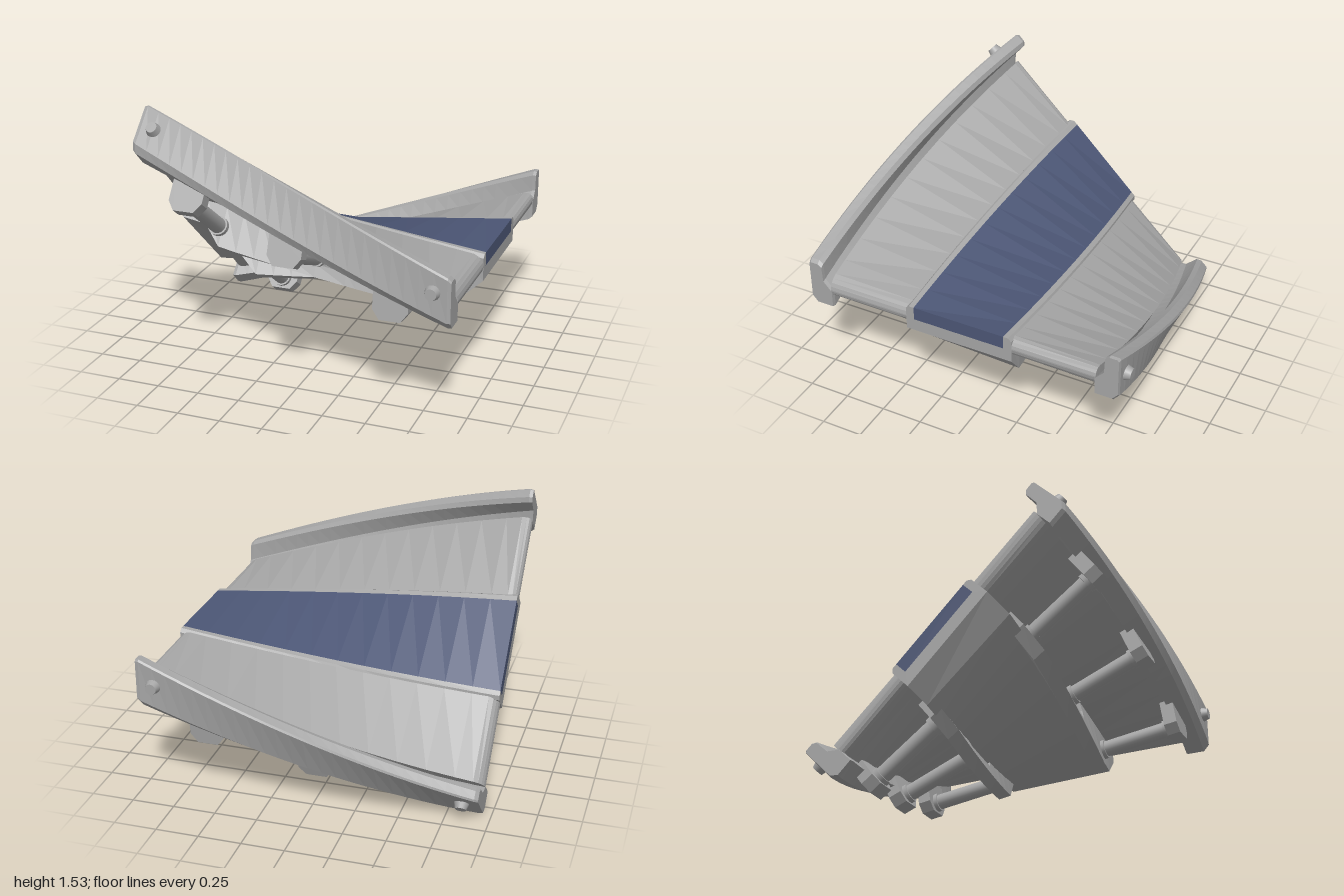
import * as THREE from 'three';

const AXIS_Y = 0.8, HALF = 0.95;
// roll of the track about its long axis: level at +x, 45 degrees at -x
const roll = x => (Math.PI / 4) * (HALF - x) / (2 * HALF);
const range = (a, b, n) => Array.from({ length: n + 1 }, (_, i) => a + (b - a) * i / n);

// Twisted loft: profile(x) gives a closed outline of [across, height] points
function twistedLoft(xs, profile, side = 1) {
  const sections = xs.map(x => {
    const pts = profile(x).map(([s, h]) => new THREE.Vector2(s * side, h));
    return THREE.ShapeUtils.area(pts) < 0 ? pts.reverse() : pts;
  });
  const n = sections[0].length, pos = [], idx = [];
  sections.forEach((pts, k) => {
    const c = Math.cos(roll(xs[k])), s = Math.sin(roll(xs[k]));
    pts.forEach(p => pos.push(xs[k], AXIS_Y + p.x * s + p.y * c, p.x * c - p.y * s));
  });
  for (let k = 0; k < xs.length - 1; k++) {
    for (let i = 0; i < n; i++) {
      const j = (i + 1) % n, a = k * n + i, b = k * n + j;
      idx.push(a, a + n, b, a + n, b + n, b);
    }
  }
  const last = (xs.length - 1) * n;
  THREE.ShapeUtils.triangulateShape(sections[0], []).forEach(([a, b, c]) => idx.push(a, b, c));
  THREE.ShapeUtils.triangulateShape(sections[xs.length - 1], [])
    .forEach(([a, b, c]) => idx.push(last + a, last + c, last + b));
  let g = new THREE.BufferGeometry();
  g.setAttribute('position', new THREE.Float32BufferAttribute(pos, 3));
  g.setIndex(idx);
  g = g.toNonIndexed();
  g.computeVertexNormals();
  return g;
}

export function createModel() {
  const model = new THREE.Group();
  model.name = 'twistedTrack';
  const grey = new THREE.MeshStandardMaterial({ color: 0xa6a6a6 });
  grey.name = 'grey metal';
  const blue = new THREE.MeshStandardMaterial({ color: 0x4c5675 });
  blue.name = 'slate blue';

  const add = (parent, name, geometry, material = grey) => {
    const mesh = new THREE.Mesh(geometry, material);
    mesh.name = name;
    parent.add(mesh);
    return mesh;
  };
  const steps = range(-HALF, HALF, 12);

  // Central deck: a channel whose underside is bevelled at both ends
  const deckX = steps.map((x, i) => i === 1 ? -0.84 : i === 11 ? 0.84 : x);
  add(model, 'deck', twistedLoft(deckX, x => {
    const low = Math.abs(x) > 0.9 ? -0.155 : -0.27;
    return [[0.28, 0], [0.31, 0], [0.33, -0.02], [0.33, low],
      [-0.33, low], [-0.33, -0.02], [-0.31, 0], [-0.28, 0], [-0.28, -0.08], [0.28, -0.08]];
  }));

  // Blue lane set in the channel
  add(model, 'lane', twistedLoft(steps, () => [[0.28, 0], [-0.28, 0], [-0.28, -0.08], [0.28, -0.08]]), blue);

  // Side panels with round ends
  const endCurve = [0.95, 0.945, 0.934, 0.917, 0.89];
  const panelX = [...endCurve.map(x => -x), ...steps.slice(1, -1), ...endCurve.slice().reverse()];
  const panelProfile = x => {
    const t = Math.max(0, (Math.abs(x) - 0.89) / 0.06);
    const r = Math.max(0.004, 0.06 * Math.sqrt(Math.max(0, 1 - t * t)));
    return [[0.32, -0.07 - r], [0.83, -0.07 - r], [0.83, -0.07 + r], [0.32, -0.07 + r]];
  };

  // Outer rails, slightly chamfered at the ends
  const railX = [-HALF, ...range(-0.93, 0.93, 24), HALF];
  const railOutline = [[0.965, 0.09], [0.955, 0.1], [0.905, 0.1], [0.88, 0.08], [0.875, -0.02],
    [0.82, -0.08], [0.82, -0.19], [0.93, -0.19], [0.965, -0.15]];
  const railProfile = x => {
    const k = Math.abs(x) > 0.94 ? 0.93 : 1;
    return railOutline.map(([s, h]) => [0.9 + (s - 0.9) * k, -0.045 + (h + 0.045) * k]);
  };

  // Support beams with chamfered ends and a notch in the middle
  const beamHalf = [0.7, 0.58, 0.47, 0.36, 0.241, 0.239, 0.18];
  const beamX = [...beamHalf.map(x => -x), 0, ...beamHalf.slice().reverse()];
  const beamProfile = x => {
    const a = Math.abs(x);
    const top = a > 0.24 ? -0.14 : a > 0.2 ? -0.21 : -0.305;
    const low = a > 0.6 ? -0.26 : -0.38;
    return [[0.28, low], [0.36, low], [0.36, top], [0.28, top]];
  };

  // Hanging bracket plate below the rail
  const bracketShape = new THREE.Shape([[-0.1, -0.13], [-0.1, -0.28], [-0.06, -0.335],
    [0.06, -0.335], [0.1, -0.28], [0.1, -0.13]].map(p => new THREE.Vector2(...p)));
  const bracketGeo = new THREE.ExtrudeGeometry(bracketShape, { depth: 0.08, bevelEnabled: false });
  const rodGeo = new THREE.CylinderGeometry(0.048, 0.048, 0.5, 20).rotateX(Math.PI / 2);
  const collarGeo = new THREE.CylinderGeometry(0.058, 0.058, 0.03, 20).rotateX(Math.PI / 2);
  const boltGeo = new THREE.CylinderGeometry(0.032, 0.047, 0.05, 16).rotateX(Math.PI / 2);

  // A straight assembly that follows the roll of the track at x
  const station = (name, x) => {
    const g = new THREE.Group();
    g.name = name;
    g.position.set(x, AXIS_Y, 0);
    g.rotation.x = -roll(x);
    model.add(g);
    return g;
  };

  for (const side of [1, -1]) {
    const tag = side > 0 ? 'front' : 'back';
    add(model, tag + 'Panel', twistedLoft(panelX, panelProfile, side));
    add(model, tag + 'Rail', twistedLoft(railX, railProfile, side));
    add(model, tag + 'Beam', twistedLoft(beamX, beamProfile, side));

    // Struts from beam to rail
    for (const x of [-0.6, 0, 0.6]) {
      const g = station(tag + 'Strut', x);
      add(g, 'bracket', bracketGeo).position.z = side * 0.83 - 0.04;
      add(g, 'rod', rodGeo).position.set(0, -0.265, side * 0.56);
      for (const s of [0.37, 0.78]) add(g, 'collar', collarGeo).position.set(0, -0.265, side * s);
    }

    // Bolts on the outside of the rail
    for (const x of [-0.85, 0.85]) {
      const bolt = add(station(tag + 'BoltMount', x), 'bolt', boltGeo);
      bolt.position.set(0, -0.02, side * 0.975);
      bolt.rotation.y = side > 0 ? 0 : Math.PI;
    }
  }
  return model;
}
